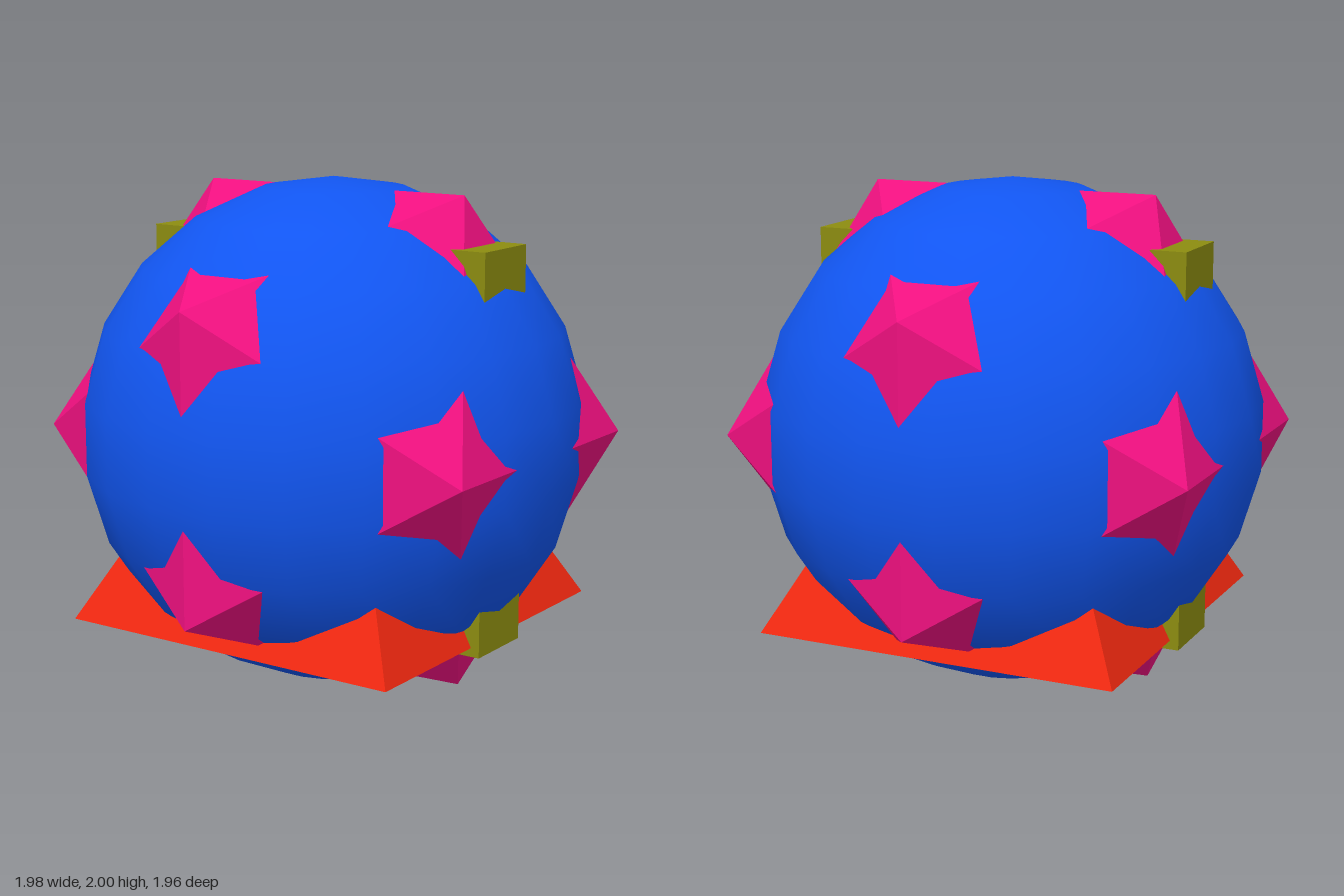
import * as THREE from 'three';

export function createModel() {
  const model = new THREE.Group();
  model.name = 'interlockedSolids';

  const addSolid = (name, geometry, color, y, flatShading = true) => {
    const material = new THREE.MeshStandardMaterial({ color, flatShading });
    const mesh = new THREE.Mesh(geometry, material);
    mesh.name = name;
    mesh.position.y = y;
    model.add(mesh);
  };

  // Smooth ball, 22 x 11 segments
  addSolid('ball', new THREE.SphereGeometry(1, 22, 11), 0x1155f0, 1, false);

  // Twenty-sided solid whose twelve corners poke out of the ball
  addSolid('spikes', new THREE.IcosahedronGeometry(1.128), 0xf01080, 1);

  // Flat square block whose four corners poke out
  addSolid('block', new THREE.BoxGeometry(1.55, 1.55, 0.3), 0x8c8c10, 1);

  // Square pyramid, its base showing as a skirt around the ball
  const halfBase = 0.74, height = 1.43;
  const pyramid = new THREE.ConeGeometry(halfBase * Math.SQRT2, height, 4);
  pyramid.rotateY(Math.PI / 4);
  addSolid('pyramid', pyramid, 0xf02810, 0.26 + height / 2);

  return model;
}
